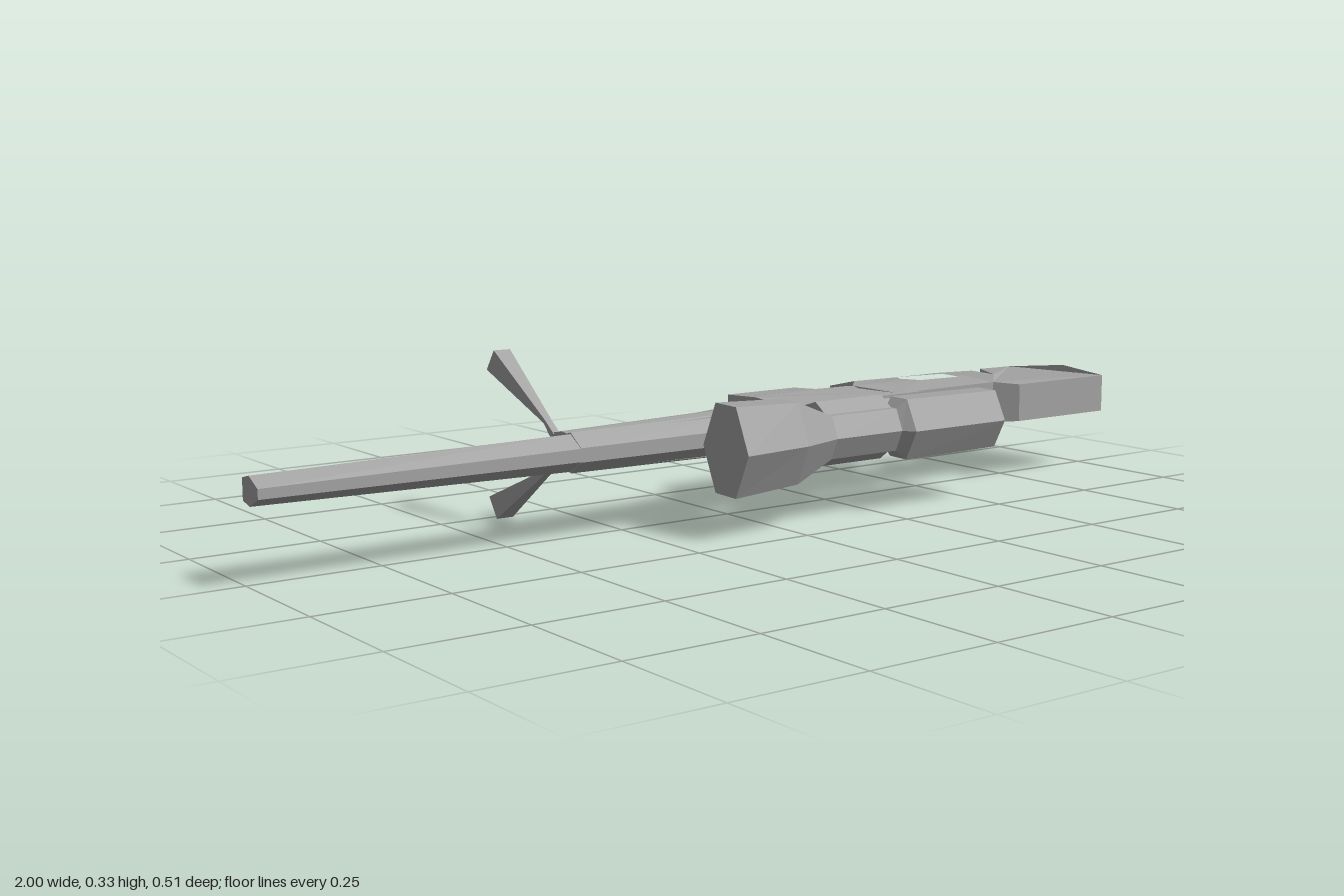
import * as THREE from 'three';

const MID = 0.165; // height of the symmetry plane (the rifle lies on its side)
const steel = new THREE.MeshStandardMaterial({ color: 0xa3a3a3 });
steel.name = 'grey steel';
steel.flatShading = true;

function named(geometry, name) {
  const mesh = new THREE.Mesh(geometry, steel);
  mesh.name = name;
  return mesh;
}

// Closed solid through a list of convex rings, each a list of [x, y, z]
function loft(rings, name) {
  const n = rings[0].length, tris = [];
  for (let r = 0; r < rings.length - 1; r++) {
    for (let i = 0; i < n; i++) {
      const j = (i + 1) % n, a = rings[r], b = rings[r + 1];
      tris.push([a[i], a[j], b[j]], [a[i], b[j], b[i]]);
    }
  }
  const first = rings[0], last = rings[rings.length - 1];
  for (let i = 1; i < n - 1; i++) {
    tris.push([first[0], first[i + 1], first[i]], [last[0], last[i], last[i + 1]]);
  }
  // Turn all faces outwards
  const [o, p, q] = [0, 1, 2].map(() => new THREE.Vector3());
  let volume = 0;
  for (const t of tris) volume += o.fromArray(t[0]).dot(p.fromArray(t[1]).cross(q.fromArray(t[2])));
  if (volume < 0) tris.forEach((t) => t.reverse());
  const g = new THREE.BufferGeometry();
  g.setAttribute('position', new THREE.Float32BufferAttribute(tris.flat(2), 3));
  g.computeVertexNormals();
  return named(g, name);
}

// Half thickness of the body, fullest below the bore
const THICKNESS = [[-0.25, 0.025], [-0.2, 0.036], [-0.15, 0.047], [-0.05, 0.052], [0.065, 0.04]];
function halfThickness(z) {
  for (let i = 0; i < THICKNESS.length - 1; i++) {
    const [z0, h0] = THICKNESS[i], [z1, h1] = THICKNESS[i + 1];
    if (z <= z1) return THREE.MathUtils.mapLinear(Math.max(z, z0), z0, z1, h0, h1);
  }
  return 0.04;
}

// Plate cut from an [x, z] outline, thinned by the rule above
function plate(outline, name, hole) {
  const points = (list) => list.map(([x, z]) => new THREE.Vector2(x, -z));
  const shape = new THREE.Shape(points(outline));
  if (hole) shape.holes.push(new THREE.Path(points(hole)));
  const g = new THREE.ExtrudeGeometry(shape, { depth: 1, bevelEnabled: false });
  g.rotateX(-Math.PI / 2);
  const pos = g.attributes.position;
  for (let i = 0; i < pos.count; i++) {
    const side = pos.getY(i) > 0.5 ? 1 : -1;
    pos.setY(i, MID + side * halfThickness(pos.getZ(i)));
  }
  g.computeVertexNormals();
  return named(g, name);
}

export function createModel() {
  const rifle = new THREE.Group();
  rifle.name = 'rifle';

  // Barrel, running back over the receiver
  const barrelRing = (x, h, low) => [
    [x, MID - h * 0.75, low], [x, MID - h, 0.03], [x, MID - h * 0.35, 0.065],
    [x, MID + h * 0.35, 0.065], [x, MID + h, 0.03], [x, MID + h * 0.75, low],
  ];
  rifle.add(loft([barrelRing(-1, 0.026, 0.003), barrelRing(-0.38, 0.035, 0)], 'barrel'));
  rifle.add(loft([barrelRing(-0.38, 0.038, 0), barrelRing(0.11, 0.042, 0), barrelRing(0.48, 0.042, 0)], 'receiverTop'));

  // Forestock, receiver and magazine
  const forestockRing = (x, low, h) => [
    [x, MID - h * 0.8, low], [x, MID - h, 0], [x, MID - h * 0.9, 0.035],
    [x, MID + h * 0.9, 0.035], [x, MID + h, 0], [x, MID + h * 0.8, low],
  ];
  rifle.add(loft([
    forestockRing(-0.38, -0.04, 0.036), forestockRing(-0.04, -0.05, 0.043), forestockRing(0.11, -0.085, 0.046),
  ], 'forestock'));
  rifle.add(plate([[0.11, 0.04], [0.11, -0.05], [0.11, -0.085], [0.285, -0.085], [0.37, -0.08],
    [0.43, -0.05], [0.48, 0.035]], 'receiver'));
  rifle.add(plate([[0.11, -0.08], [0.11, -0.145], [0.295, -0.158], [0.295, -0.08]], 'magazine'));

  // Thumbhole stock with grip and butt
  rifle.add(plate([
    [0.42, 0.03], [0.38, -0.05], [0.39, -0.08], [0.455, -0.15], [0.47, -0.25], [0.58, -0.2], [0.71, -0.165],
    [0.775, -0.12], [0.76, -0.035], [0.865, -0.185], [0.985, -0.21], [0.995, -0.05], [1, 0.065],
    [0.74, 0.065], [0.7, 0.025],
  ], 'stock', [
    [0.55, -0.11], [0.6, -0.175], [0.685, -0.12], [0.69, -0.065], [0.655, -0.045], [0.555, -0.05],
  ]));

  // Six-sided scope
  const scopeRing = ([x, z, rz, ry]) => [
    [1, 0], [0.45, 1], [-0.45, 1], [-1, 0], [-0.45, -1], [0.45, -1],
  ].map(([a, b]) => [x - a * 0.08 * rz, MID + b * ry, z + a * rz]);
  rifle.add(loft([
    [-0.138, 0.179, 0.078, 0.085], [0.02, 0.168, 0.068, 0.078], [0.115, 0.166, 0.037, 0.042],
    [0.28, 0.166, 0.037, 0.042], [0.298, 0.168, 0.058, 0.06], [0.54, 0.168, 0.058, 0.058],
  ].map(scopeRing), 'scope'));

  // Scope mount, flaring towards the scope
  const mountRing = (z, h) => [
    [0.112, MID - h, z], [0.28, MID - h, z], [0.28, MID + h, z], [0.112, MID + h, z],
  ];
  rifle.add(loft([mountRing(0.035, 0.038), mountRing(0.07, 0.044), mountRing(0.135, 0.064), mountRing(0.165, 0.042)], 'scopeMount'));

  // Bipod legs, mirrored about the middle plane
  for (const s of [1, -1]) {
    const root = [[-0.382, 0.05, -0.055], [-0.368, 0.05, -0.055], [-0.368, 0.044, -0.06], [-0.382, 0.044, -0.06]];
    const foot = [[-0.388, 0.165, -0.23], [-0.352, 0.165, -0.23], [-0.352, 0.125, -0.258], [-0.388, 0.125, -0.258]];
    const hip = [[-0.382, 0.028, -0.025], [-0.368, 0.028, -0.025], [-0.368, 0.018, -0.035], [-0.382, 0.018, -0.035]];
    const place = (ring) => ring.map(([x, y, z]) => [x, MID + s * y, z]);
    rifle.add(loft([hip, root, foot].map(place), s > 0 ? 'upperBipodLeg' : 'lowerBipodLeg'));
  }

  return rifle;
}
